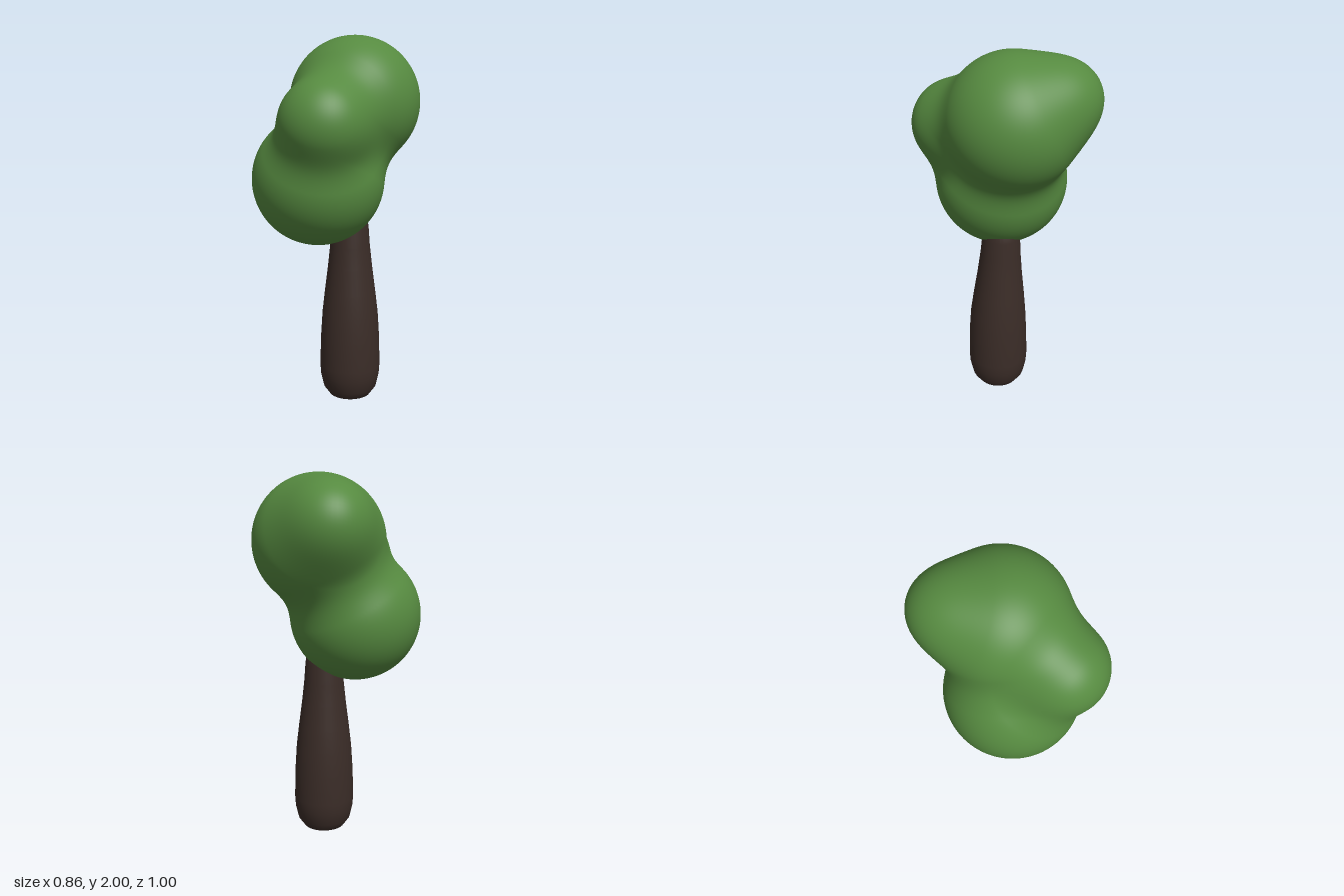
import * as THREE from 'three';

// Leaf blobs: centre x, y, z and radius
const blobs = [
  [0.08, 1.65, -0.09, 0.35],
  [-0.08, 1.245, 0.055, 0.355],
  [0.02, 1.56, 0.265, 0.235],
  [-0.035, 1.76, -0.305, 0.195],
];
const BLEND = 0.13;

// Signed distance to the softly merged blobs
function distance(p) {
  let d = Infinity;
  for (const [x, y, z, r] of blobs) {
    const s = Math.hypot(p.x - x, p.y - y, p.z - z) - r;
    if (d === Infinity) { d = s; continue; }
    const h = Math.max(BLEND - Math.abs(d - s), 0) / BLEND;
    d = Math.min(d, s) - h * h * BLEND / 4;
  }
  return d;
}

// Sphere whose vertices are pushed along their rays onto the merged surface
function crownGeometry() {
  const geo = new THREE.SphereGeometry(1, 128, 96);
  const pos = geo.attributes.position, nor = geo.attributes.normal;
  const centre = new THREE.Vector3(0, 1.47, 0.01);
  const dir = new THREE.Vector3(), p = new THREE.Vector3(), q = new THREE.Vector3();
  const e = 0.002;
  for (let i = 0; i < pos.count; i++) {
    dir.fromBufferAttribute(pos, i).normalize();
    let lo = 0, hi = 1;
    for (let k = 0; k < 24; k++) {
      const mid = (lo + hi) / 2;
      if (distance(p.copy(centre).addScaledVector(dir, mid)) < 0) lo = mid;
      else hi = mid;
    }
    p.copy(centre).addScaledVector(dir, lo);
    pos.setXYZ(i, p.x, p.y, p.z);
    // Normal from the slope of the distance
    const slope = ['x', 'y', 'z'].map((a) => {
      q.copy(p); q[a] += e;
      const up = distance(q);
      q[a] -= 2 * e;
      return up - distance(q);
    });
    q.set(...slope).normalize();
    nor.setXYZ(i, q.x, q.y, q.z);
  }
  return geo;
}

// Tapered trunk with a rounded foot, leaning slightly back near the top
function trunkGeometry() {
  const profile = [
    [0, 0], [0.07, 0.005], [0.115, 0.025], [0.147, 0.07], [0.163, 0.14], [0.167, 0.2],
    [0.163, 0.36], [0.154, 0.5], [0.14, 0.62], [0.122, 0.76], [0.109, 0.88],
    [0.102, 0.98], [0.09, 1.06], [0.05, 1.11], [0, 1.12],
  ].map(([r, y]) => new THREE.Vector2(r, y));
  const geo = new THREE.LatheGeometry(profile, 32);
  const pos = geo.attributes.position;
  for (let i = 0; i < pos.count; i++) {
    const lean = Math.max(pos.getY(i) - 0.45, 0);
    pos.setX(i, pos.getX(i) + 0.085 - lean * 0.015);
    pos.setZ(i, pos.getZ(i) - lean * 0.035);
  }
  return geo;
}

export function createModel() {
  const tree = new THREE.Group();
  tree.name = 'tree';
  const add = (name, geo, color) => {
    const mesh = new THREE.Mesh(geo, new THREE.MeshStandardMaterial({ color }));
    mesh.name = name;
    tree.add(mesh);
  };
  add('trunk', trunkGeometry(), 0x3a2c27);
  add('crown', crownGeometry(), 0x568a40);
  return tree;
}
